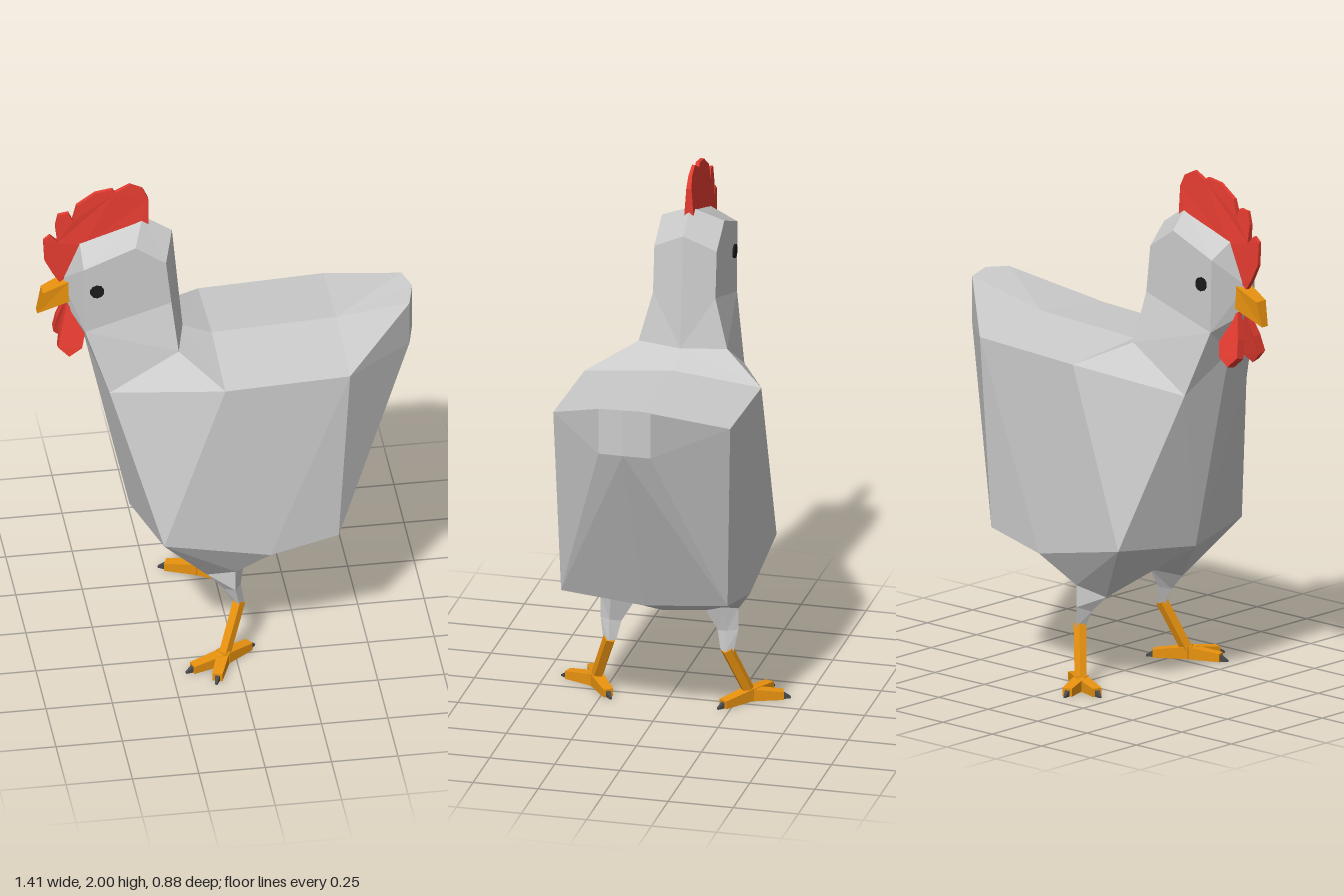
import * as THREE from 'three';

const mat = (color) => new THREE.MeshStandardMaterial({ color, flatShading: true });
const GREY = mat(0xcccccc), RED = mat(0xe53c30), ORANGE = mat(0xe8920f), CLAW = mat(0x4a4a4a), BLACK = mat(0x1a1a1a);

// Corners of one half of the body; z = 0 points lie on the centre line
const P = {
  crown: [-0.31, 1.85, 0], brow: [-0.55, 1.77, 0], nose: [-0.615, 1.6, 0], chin: [-0.605, 1.49, 0],
  throat: [-0.53, 1.33, 0], breast: [-0.36, 0.55, 0], bellyF: [-0.12, 0.4, 0], bellyB: [0.12, 0.4, 0],
  rump: [0.38, 0.52, 0], tailLow: [0.705, 1.25, 0], tailTop: [0.705, 1.43, 0], saddle: [0.42, 1.315, 0],
  back: [-0.05, 1.295, 0], nape: [-0.16, 1.34, 0], poll: [-0.2, 1.775, 0],
  front: [-0.55, 1.71, 0.12], temple: [-0.355, 1.79, 0.12], rear: [-0.24, 1.71, 0.12],
  cheek: [-0.545, 1.43, 0.12], neckB: [-0.22, 1.53, 0.12], neckBase: [-0.2, 1.34, 0.17],
  neckF: [-0.46, 1.18, 0.17], shoulder: [-0.05, 1.26, 0.34], chest: [-0.28, 0.58, 0.34],
  flank: [0.12, 0.5, 0.34], hip: [0.42, 1.28, 0.34], rumpS: [0.38, 0.55, 0.32],
  tLow: [0.68, 1.24, 0.1], tTop: [0.68, 1.42, 0.1],
  // Thigh, knee and ankle rings: front, outer, back, inner
  thighF: [-0.1, 0.345, 0.21], thighO: [0, 0.385, 0.265], thighB: [0.04, 0.4, 0.215], thighI: [0, 0.365, 0.14],
  kneeF: [-0.035, 0.28, 0.22], kneeO: [0, 0.3, 0.265], kneeB: [0.025, 0.3, 0.225], kneeI: [0, 0.29, 0.185],
  ankleF: [-0.003, 0.215, 0.22], ankleO: [0.018, 0.215, 0.25], ankleB: [0.038, 0.22, 0.225], ankleI: [0.018, 0.22, 0.2],
};
const BODY = [
  'crown brow front temple', 'crown temple rear poll', 'brow nose front', 'nose chin cheek front',
  'chin throat cheek', 'front cheek neckB rear temple', 'poll rear neckB nape', 'nape neckB neckBase',
  'cheek neckF neckBase neckB', 'throat breast neckF cheek', 'breast chest neckF', 'neckF chest shoulder',
  'neckF shoulder neckBase', 'nape neckBase shoulder back', 'back shoulder hip saddle',
  'saddle hip tTop tailTop', 'shoulder chest flank hip', 'flank rumpS hip', 'hip rumpS tLow',
  'hip tLow tTop', 'tLow tailLow tailTop tTop', 'rumpS rump tailLow tLow',
  'rump bellyB flank rumpS', 'flank bellyB thighB', 'bellyB thighI thighB', 'bellyF bellyB thighI',
  'breast bellyF thighI thighF', 'breast chest thighF', 'chest thighO thighF', 'chest flank thighO',
  'flank thighB thighO',
];
const THIGH = ['ankleF ankleO ankleB ankleI'];
for (const [a, b] of ['FO', 'OB', 'BI', 'IF']) {
  THIGH.push(`thigh${a} thigh${b} knee${b} knee${a}`, `knee${a} knee${b} ankle${b} ankle${a}`);
}

// Fan each face, mirror it, and turn every triangle away from a point inside the part
function facetGeometry(faces, inside) {
  const tri = new THREE.Triangle(), n = new THREE.Vector3(), c = new THREE.Vector3(), out = [];
  for (const side of [1, -1]) {
    const centre = new THREE.Vector3(inside[0], inside[1], inside[2] * side);
    for (const face of faces) {
      const pts = face.split(' ').map((k) => new THREE.Vector3(P[k][0], P[k][1], P[k][2] * side));
      for (let i = 1; i < pts.length - 1; i++) {
        tri.set(pts[0], pts[i], pts[i + 1]);
        tri.getNormal(n);
        tri.getMidpoint(c).sub(centre);
        const order = n.dot(c) > 0 ? [tri.a, tri.b, tri.c] : [tri.a, tri.c, tri.b];
        order.forEach((v) => out.push(v.x, v.y, v.z));
      }
    }
  }
  const g = new THREE.BufferGeometry();
  g.setAttribute('position', new THREE.Float32BufferAttribute(out, 3));
  g.computeVertexNormals();
  return g;
}

function add(parent, name, geometry, material) {
  const m = new THREE.Mesh(geometry, material);
  m.name = name;
  parent.add(m);
  return m;
}

// Flat outline given a thickness; halfWidth(x, y) sets it at each corner
function slab(outline, halfWidth) {
  const shape = new THREE.Shape(outline.map(([x, y]) => new THREE.Vector2(x, y)));
  const g = new THREE.ExtrudeGeometry(shape, { depth: 2, bevelEnabled: false });
  const p = g.attributes.position;
  for (let i = 0; i < p.count; i++) p.setZ(i, (p.getZ(i) - 1) * halfWidth(p.getX(i), p.getY(i)));
  g.computeVertexNormals();
  return g;
}

// Toe: a wedge on the ground from the ankle, with a dark claw
function toe(parent, from, to) {
  const dx = to[0] - from[0], dz = to[1] - from[1], len = Math.hypot(dx, dz);
  const g = new THREE.Group();
  g.name = 'toe';
  const wedge = (x0, x1, h0, h1, w0, w1, name, material) => {
    const outline = [[x0, 0.003], [x1, 0.003], [x1, h1], [x0, h0]];
    add(g, name, slab(outline, (x) => (x < (x0 + x1) / 2 ? w0 : w1)), material);
  };
  wedge(-0.015, len * 0.83, 0.052, 0.034, 0.024, 0.019, 'toePad', ORANGE);
  wedge(len * 0.8, len, 0.029, 0.01, 0.01, 0.004, 'claw', CLAW);
  g.position.set(from[0], 0, from[1]);
  g.rotation.y = -Math.atan2(dz, dx);
  parent.add(g);
}

export function createModel() {
  const bird = new THREE.Group();
  bird.name = 'chicken';
  add(bird, 'body', facetGeometry(BODY, [-0.25, 0.95, 0]), GREY);
  add(bird, 'thighs', facetGeometry(THIGH, [0, 0.3, 0.222]), GREY);

  // Scalloped comb, thinner towards its rim
  const comb = [[-0.29, 1.82], [-0.29, 1.93], [-0.31, 1.975], [-0.36, 2], [-0.415, 1.97], [-0.425, 1.985],
    [-0.49, 1.975], [-0.56, 1.925], [-0.575, 1.86], [-0.59, 1.895], [-0.63, 1.89], [-0.64, 1.84],
    [-0.632, 1.77], [-0.66, 1.8], [-0.685, 1.78], [-0.68, 1.69], [-0.65, 1.63], [-0.625, 1.59],
    [-0.6, 1.61], [-0.54, 1.75], [-0.32, 1.82]];
  add(bird, 'comb', slab(comb, (x, y) =>
    0.02 * THREE.MathUtils.clamp(1.6 - 4.3 * Math.hypot(x + 0.4, y - 1.7), 0.3, 1)), RED);

  // Beak narrowing to its tip
  add(bird, 'beak', slab([[-0.59, 1.605], [-0.69, 1.555], [-0.71, 1.46], [-0.59, 1.515]],
    (x) => (x < -0.7 ? 0.016 : x < -0.65 ? 0.026 : 0.036)), ORANGE);

  const wattle = [[0, 0], [-0.03, -0.1], [-0.04, -0.17], [0, -0.21], [0.05, -0.18], [0.065, -0.11], [0.04, -0.04]];
  for (const s of [1, -1]) {
    // Wattles hang from the beak and splay apart
    const w = add(bird, 'wattle', slab(wattle, (x, y) => (y > -0.05 ? 0.012 : 0.018)), RED);
    w.position.set(-0.6, 1.5, 0.018 * s);
    w.rotation.x = -0.25 * s;

    const eye = add(bird, 'eye', new THREE.CylinderGeometry(0.027, 0.027, 0.014, 10), BLACK);
    eye.position.set(-0.5, 1.61, 0.12 * s);
    eye.rotation.x = Math.PI / 2;

    // Leg: slanting shank, two front toes and a hind toe
    const leg = new THREE.Group();
    leg.name = 'leg';
    const top = new THREE.Vector3(0.018, 0.225, 0.225 * s), foot = new THREE.Vector3(-0.05, 0.03, 0.295 * s);
    const along = top.clone().sub(foot);
    const shank = add(leg, 'shank', new THREE.CylinderGeometry(0.025, 0.024, along.length(), 5), ORANGE);
    shank.position.copy(top).add(foot).multiplyScalar(0.5);
    shank.quaternion.setFromUnitVectors(new THREE.Vector3(0, 1, 0), along.normalize());
    for (const [x, z] of [[-0.1, 0.44], [-0.2, 0.35], [0.08, 0.205]]) {
      toe(leg, [-0.05, 0.295 * s], [x, z * s]);
    }
    bird.add(leg);
  }
  return bird;
}
